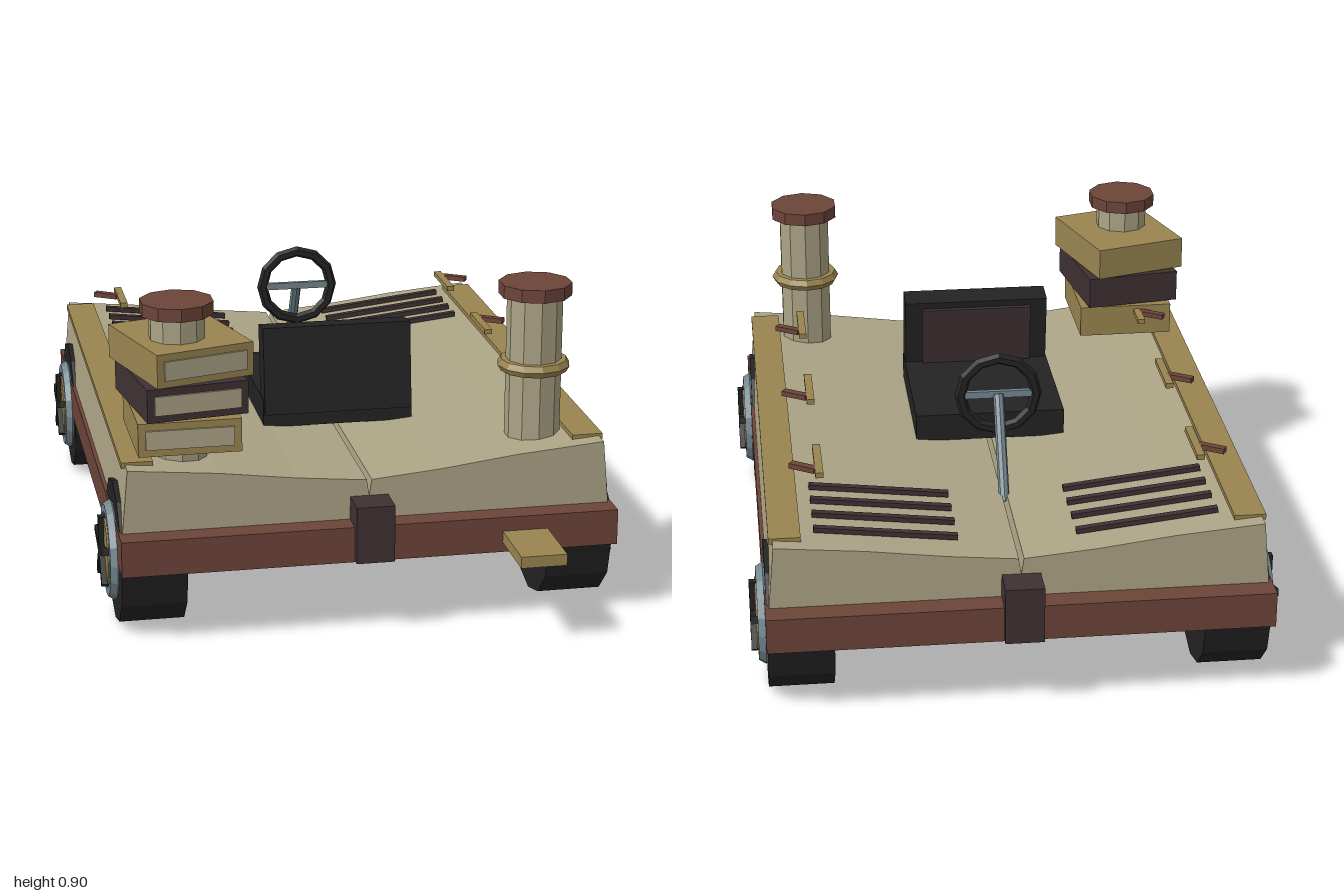
import * as THREE from 'three';

const mat = (name, color) => {
  const m = new THREE.MeshStandardMaterial({ color });
  m.name = name;
  return m;
};

// Faceted normals
function flat(geo) {
  const g = geo.index ? geo.toNonIndexed() : geo;
  g.computeVertexNormals();
  return g;
}

export function createModel() {
  const paper = mat('paper', 0xaca486);
  const leather = mat('brown leather', 0x6c4439);
  const gold = mat('dull gold', 0x9a8550);
  const black = mat('black', 0x232324);
  const steel = mat('blue steel', 0x748890);
  const plum = mat('dark plum', 0x3f3134);

  const model = new THREE.Group();
  model.name = 'bookCar';

  function add(name, geo, material, x = 0, y = 0, z = 0, parent = model) {
    const m = new THREE.Mesh(geo, material);
    m.name = name;
    m.position.set(x, y, z);
    parent.add(m);
    return m;
  }
  const box = (name, material, w, h, d, x, y, z, parent) =>
    add(name, new THREE.BoxGeometry(w, h, d), material, x, y, z, parent);
  const cyl = (name, material, r, h, sides, x, y, z, parent) =>
    add(name, flat(new THREE.CylinderGeometry(r, r, h, sides)), material, x, y, z, parent);

  // Cover board under the pages
  box('cover', leather, 1.364, 0.1, 1.78, 0, 0.26, -0.085);

  // Open pages: shallow V with a groove along the middle
  const half = [[0.672, 0.305], [0.655, 0.487], [0.41, 0.465], [0.2, 0.438], [0.007, 0.42]];
  const outline = [...half, [0, 0.375], ...half.map(([x, y]) => [-x, y]).reverse()];
  const pages = new THREE.ExtrudeGeometry(
    new THREE.Shape(outline.map(([x, y]) => new THREE.Vector2(x, y))),
    { depth: 1.65, bevelEnabled: false });
  add('pages', flat(pages), paper, 0, 0, -0.91);

  // Spine clasps at both ends, bookmark tongue at the front
  box('frontClasp', plum, 0.105, 0.16, 0.1, 0, 0.295, 0.783);
  box('backClasp', plum, 0.105, 0.16, 0.1, 0, 0.295, -0.95);
  box('bookmark', gold, 0.126, 0.032, 0.24, 0.421, 0.254, 0.88);

  // Wheels
  function wheel(side, z) {
    const g = new THREE.Group();
    g.name = 'wheel';
    g.position.set(0, 0.2, z);
    model.add(g);
    const tyre = cyl('tyre', black, 0.2, 0.178, 12, side * 0.589, 0, 0, g);
    tyre.rotation.z = Math.PI / 2;
    const rim = add('rim', flat(new THREE.TorusGeometry(0.117, 0.022, 6, 16)), steel, side * 0.682, 0, 0, g);
    rim.rotation.y = Math.PI / 2;
    const disc = cyl('hubDisc', gold, 0.1, 0.03, 16, side * 0.69, 0, 0, g);
    disc.rotation.z = Math.PI / 2;
    for (let i = 0; i < 5; i++) {
      const a = (i / 5) * Math.PI * 2;
      const spoke = box('spoke', black, 0.03, 0.1, 0.022,
        side * 0.705, 0.05 * Math.cos(a), 0.05 * Math.sin(a), g);
      spoke.rotation.x = a;
    }
  }
  for (const side of [-1, 1]) for (const z of [0.565, -0.73]) wheel(side, z);

  for (const side of [-1, 1]) {
    // Side rail
    box('sideRail', gold, 0.086, 0.016, 1.555, side * 0.623, 0.485, -0.088);

    // Text-line vents
    for (const z of [-0.81, -0.72, -0.635, -0.55]) {
      const vent = box('vent', plum, 0.387, 0.014, 0.02, side * 0.352, 0.467, z);
      vent.rotation.z = side * 0.115;
    }

    // Small tabs with angled stubs
    for (const z of [-0.595, -0.11, 0.38]) {
      box('tab', gold, 0.022, 0.015, 0.185, side * 0.519, 0.585, z);
      const stub = box('tabStub', leather, 0.078, 0.015, 0.022, side * 0.56, 0.585, z - 0.035);
      stub.rotation.y = -0.57;
    }

    // Chimney column with ring and cap
    cyl('chimney', paper, 0.077, 0.43, 10, side * 0.495, 0.665, 0.575);
    cyl('chimneyCap', leather, 0.101, 0.036, 10, side * 0.495, 0.887, 0.575);
    const ring = add('chimneyRing', flat(new THREE.TorusGeometry(0.083, 0.019, 6, 12)),
      gold, side * 0.495, 0.671, 0.575);
    ring.rotation.x = Math.PI / 2;
  }

  // Twisted stack of closed books around one chimney
  [gold, plum, gold].forEach((cover, i) => {
    const book = new THREE.Group();
    book.name = 'stackedBook';
    book.position.set(-0.482, 0.557 + 0.099 * i, 0.54);
    book.rotation.y = 0.01 + 0.14 * i;
    model.add(book);
    box('bookCover', cover, 0.28, 0.093, 0.328, 0, 0, 0, book);
    box('bookPages', paper, 0.24, 0.053, 0.008, 0, 0, 0.166, book);
  });

  // Seat
  box('seatBase', black, 0.43, 0.08, 0.47, 0, 0.473, 0.06);
  const back = new THREE.Group();
  back.name = 'seatBack';
  back.position.set(0, 0.592, 0.253);
  back.rotation.x = -0.12;
  model.add(back);
  box('backrest', black, 0.425, 0.25, 0.08, 0, 0, 0, back);
  box('backCushion', plum, 0.325, 0.18, 0.016, 0, 0.015, -0.044, back);

  // Steering wheel and column
  add('steeringWheel', flat(new THREE.TorusGeometry(0.107, 0.016, 6, 12)), black, 0, 0.66, -0.37);
  box('steeringSpoke', steel, 0.2, 0.02, 0.014, 0, 0.66, -0.37);
  const from = new THREE.Vector3(0, 0.4, -0.525), to = new THREE.Vector3(0, 0.66, -0.375);
  const column = cyl('steeringColumn', steel, 0.015, from.distanceTo(to), 8, 0, 0.53, -0.45);
  column.quaternion.setFromUnitVectors(new THREE.Vector3(0, 1, 0), to.clone().sub(from).normalize());

  return model;
}
